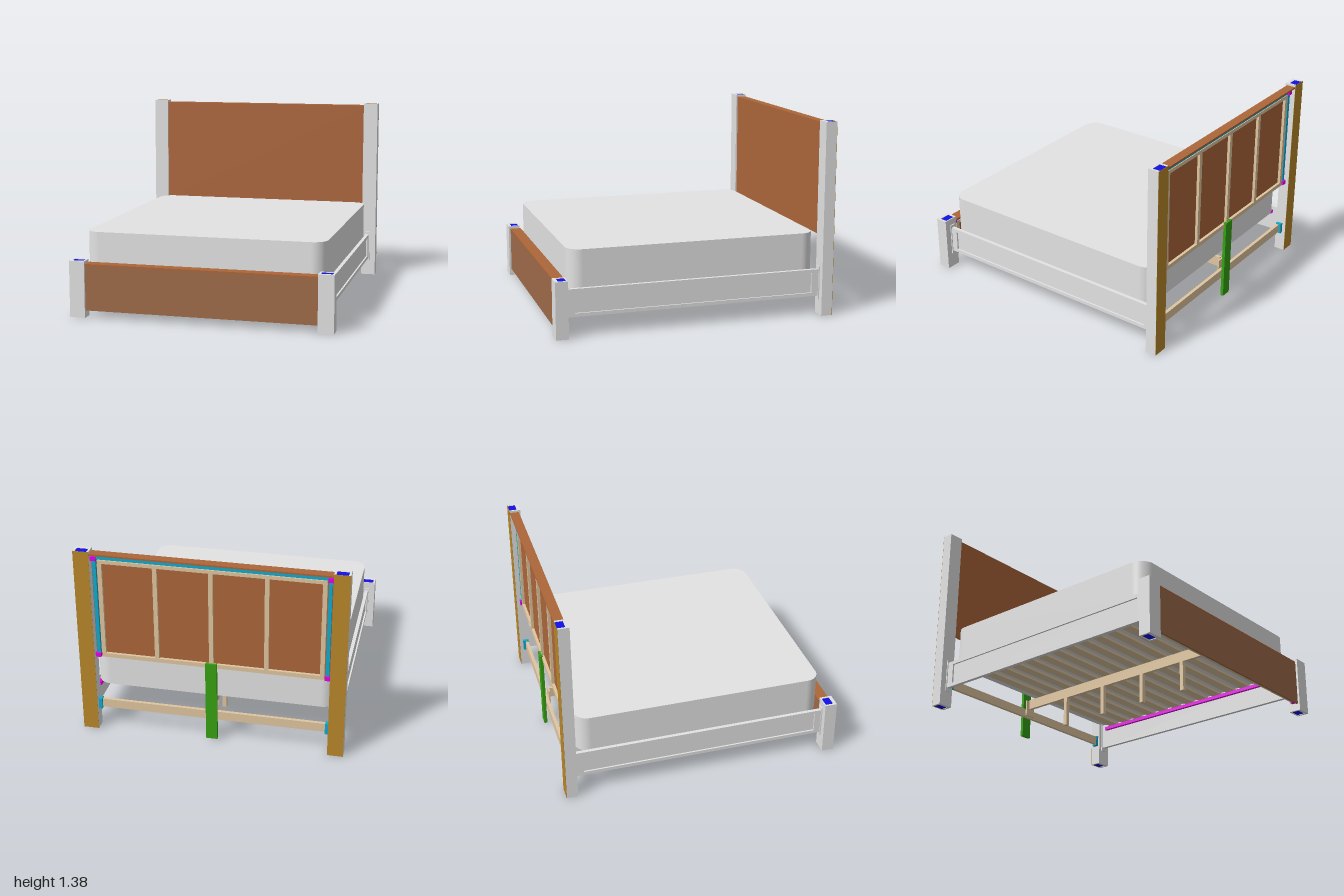
import * as THREE from 'three';

const mat = (name, color) => {
  const m = new THREE.MeshStandardMaterial({ color });
  m.name = name;
  return m;
};

export function createModel() {
  const bed = new THREE.Group();
  bed.name = 'bed';
  const grey = mat('light grey', 0xe3e3e3);
  const brown = mat('brown', 0xad663a);
  const dullBrown = mat('dull brown', 0x9f6b49);
  const tan = mat('tan', 0xe0c6a0);
  const blue = mat('blue', 0x1010e6);
  const gold = mat('gold', 0xb8872a);
  const green = mat('green', 0x36a012);
  const cyan = mat('cyan', 0x12aace);
  const magenta = mat('magenta', 0xe600e6);

  // Box given by its limits on each axis
  const box = (parent, name, m, x0, x1, y0, y1, z0, z1) => {
    const mesh = new THREE.Mesh(new THREE.BoxGeometry(Math.abs(x1 - x0), y1 - y0, Math.abs(z1 - z0)), m);
    mesh.position.set((x0 + x1) / 2, (y0 + y1) / 2, (z0 + z1) / 2);
    mesh.name = name;
    parent.add(mesh);
  };
  const group = (name) => {
    const g = new THREE.Group();
    g.name = name;
    bed.add(g);
    return g;
  };

  // Posts: four walls around a core that shows at both ends
  const post = (name, s, top, z0, z1, backMat, c0, c1) => {
    const g = group(name);
    box(g, 'outerWall', grey, s * 0.915, s * 0.93, 0, top, c0, z1);
    box(g, 'innerWall', grey, s * 0.82, s * 0.834, 0, top, c0, z1);
    box(g, 'frontWall', grey, s * 0.834, s * 0.915, 0, top, c1, z1);
    box(g, 'backWall', backMat, s * 0.82, s * 0.93, 0, top, z0, c0);
    box(g, 'core', blue, s * 0.834, s * 0.915, 0.004, top - 0.004, c0, c1);
  };

  // Upholstered board: face panel, cap, lattice behind it and fixing strips
  const board = (name, faceMat, y0, y1, zFront, zBack) => {
    const g = group(name);
    const zp = zFront - 0.014, zl = zp - 0.02;
    box(g, 'facePanel', faceMat, -0.82, 0.82, y0, y1 - 0.012, zp, zFront);
    box(g, 'topCap', brown, -0.82, 0.82, y1 - 0.012, y1, zBack, zFront);
    const top = y1 - 0.055;
    box(g, 'lowerBatten', tan, -0.775, 0.775, y0 + 0.005, y0 + 0.035, zl, zp);
    box(g, 'upperBatten', tan, -0.775, 0.775, top - 0.025, top, zl, zp);
    for (let i = -2; i <= 2; i++) {
      const x = i * 0.381;
      box(g, 'uprightBatten', tan, x - 0.015, x + 0.015, y0 + 0.035, top - 0.025, zl, zp);
    }
    box(g, 'topStrip', cyan, -0.8, 0.8, y1 - 0.05, y1 - 0.016, zl, zp);
    for (const s of [-1, 1]) {
      box(g, 'sideStrip', cyan, s * 0.785, s * 0.81, y0 + 0.03, y1 - 0.05, zl, zp);
      for (const y of [y0 + 0.005, y1 - 0.06])
        box(g, 'cornerBracket', magenta, s * 0.782, s * 0.82, y, y + 0.03, zl - 0.01, zp);
    }
    return g;
  };

  const head = board('headboard', brown, 0.57, 1.37, -0.93, -0.997);
  const foot = board('footboard', dullBrown, 0.05, 0.38, 0.985, 0.905);

  for (const s of [-1, 1]) {
    post('headPost', s, 1.385, -1, -0.918, gold, -0.998, -0.942);
    post('footPost', s, 0.4, 0.912, 1, grey, 0.92, 0.977);

    // Side rail: raised frame around a recessed panel
    const rail = group('sideRail');
    box(rail, 'railPanel', grey, s * 0.852, s * 0.866, 0.135, 0.33, -0.915, 0.91);
    box(rail, 'topFrame', grey, s * 0.866, s * 0.878, 0.305, 0.33, -0.915, 0.91);
    box(rail, 'bottomFrame', grey, s * 0.866, s * 0.878, 0.135, 0.16, -0.915, 0.91);
    box(rail, 'frontFrame', grey, s * 0.866, s * 0.878, 0.16, 0.305, 0.857, 0.91);
    box(rail, 'backFrame', grey, s * 0.866, s * 0.878, 0.16, 0.305, -0.915, -0.86);
    box(rail, 'slatLedge', magenta, s * 0.83, s * 0.852, 0.275, 0.3, -0.865, 0.845);
    for (const z of [-0.914, 0.908])
      box(rail, 'hookPlate', grey, s * 0.845, s * 0.885, 0.11, 0.35, z - 0.004, z + 0.004);

    // Brackets that hold the rear cross bar
    box(head, 'barBracket', cyan, s * 0.795, s * 0.82, 0.15, 0.23, -0.972, -0.93);
  }

  // Rear cross bar and central supports
  box(head, 'crossBar', tan, -0.815, 0.815, 0.158, 0.222, -0.955, -0.932);
  box(head, 'rearSupport', green, -0.04, 0.04, 0.01, 0.61, -0.978, -0.956);
  box(head, 'beamSeat', tan, -0.04, 0.04, 0.17, 0.29, -0.932, -0.92);
  box(foot, 'centreBatten', tan, -0.03, 0.03, 0.06, 0.32, 0.945, 0.971);
  box(foot, 'beamBracket', green, -0.04, 0.04, 0.215, 0.3, 0.91, 0.945);
  box(foot, 'bracketStrip', cyan, -0.042, 0.042, 0.185, 0.214, 0.915, 0.945);

  // Slats, centre beam and its legs
  const base = group('slatBase');
  for (let i = -6; i <= 6; i++)
    box(base, 'slat', tan, -0.851, 0.851, 0.3, 0.316, i * 0.13 - 0.037, i * 0.13 + 0.037);
  box(base, 'centreBeam', tan, -0.012, 0.012, 0.225, 0.3, -0.92, 0.915);
  for (const z of [0.557, 0.195, -0.175, -0.54])
    box(base, 'beamLeg', tan, -0.015, 0.015, 0.008, 0.225, z - 0.014, z + 0.014);

  // Mattress with rounded corners in plan
  const w = 0.85, d = 0.893, r = 0.1;
  const plan = new THREE.Shape();
  plan.absarc(w - r, d - r, r, 0, Math.PI / 2);
  plan.absarc(-w + r, d - r, r, Math.PI / 2, Math.PI);
  plan.absarc(-w + r, -d + r, r, Math.PI, Math.PI * 1.5);
  plan.absarc(w - r, -d + r, r, Math.PI * 1.5, Math.PI * 2);
  const geo = new THREE.ExtrudeGeometry(plan, { depth: 0.274, bevelEnabled: false, curveSegments: 12 });
  geo.rotateX(-Math.PI / 2);
  const mattress = new THREE.Mesh(geo, grey);
  mattress.name = 'mattress';
  mattress.position.y = 0.317;
  bed.add(mattress);

  return bed;
}
